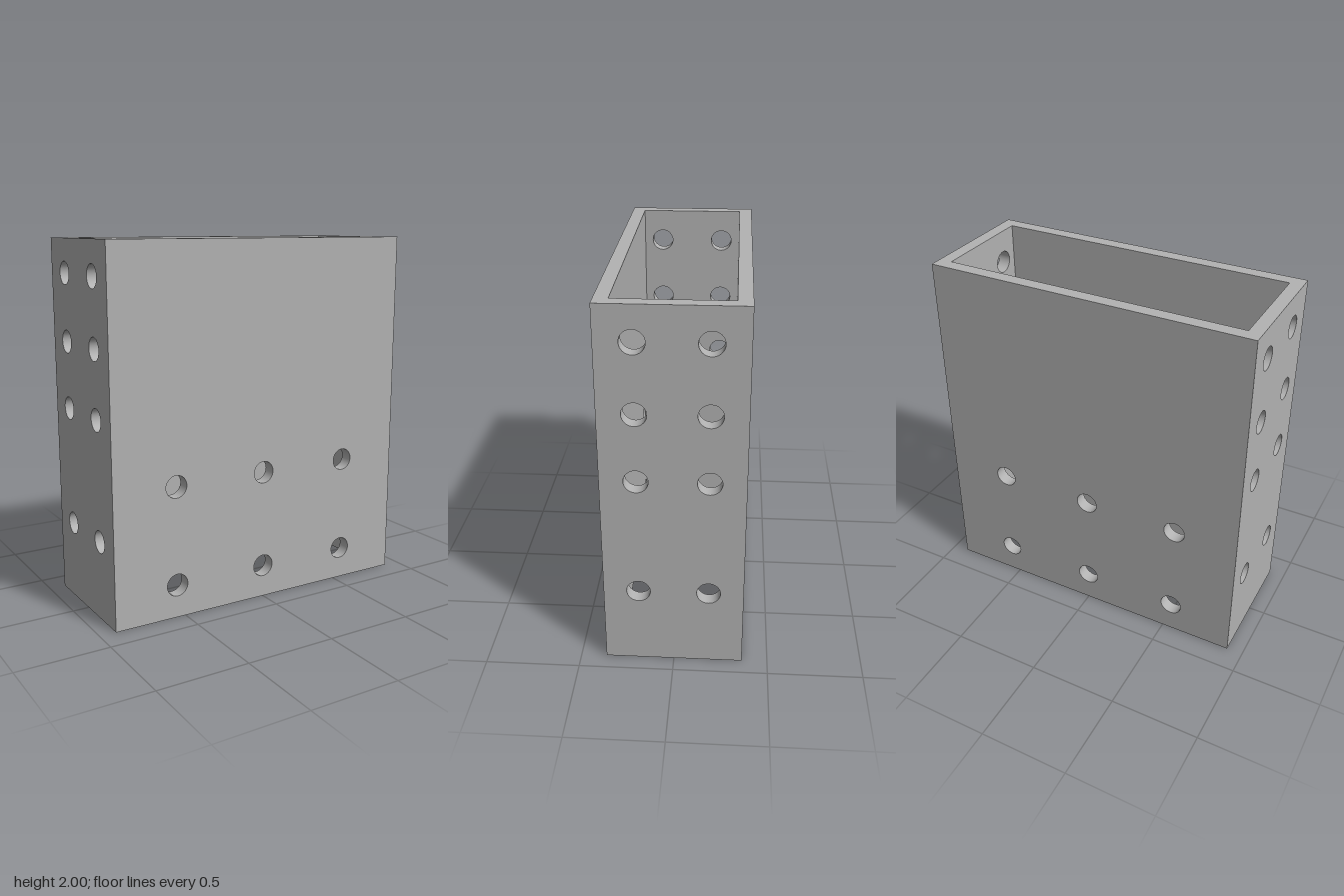
import * as THREE from 'three';
import { mergeGeometries } from 'three/addons/utils/BufferGeometryUtils.js';

const U = 2 / 55; // one design unit
const W = 50 * U, D = 20 * U, H = 55 * U, T = 2 * U, R = 1.7 * U;

// Rectangle standing on y = 0, pierced by round holes
function plate(width, holes) {
  const shape = new THREE.Shape();
  shape.moveTo(-width / 2, 0).lineTo(width / 2, 0).lineTo(width / 2, H).lineTo(-width / 2, H).closePath();
  for (const [x, y] of holes) {
    shape.holes.push(new THREE.Path().absarc(x, y, R, 0, Math.PI * 2, true));
  }
  return new THREE.ShapeGeometry(shape, 16);
}

// One wall facing +z: outer skin, inner skin and the bores joining them
function wallGeometry(width, distance, holes) {
  const parts = [
    plate(width, holes).translate(0, 0, distance),
    plate(width - 2 * T, holes).rotateY(Math.PI).translate(0, 0, distance - T),
  ];
  for (const [x, y] of holes) {
    const bore = new THREE.LatheGeometry([new THREE.Vector2(R, T), new THREE.Vector2(R, 0)], 32);
    parts.push(bore.rotateX(Math.PI / 2).translate(x, y, distance - T));
  }
  return mergeGeometries(parts);
}

// Rectangular ring closing the wall thickness at an open end
function rimGeometry() {
  const rect = (path, w, d) =>
    path.moveTo(-w / 2, -d / 2).lineTo(w / 2, -d / 2).lineTo(w / 2, d / 2).lineTo(-w / 2, d / 2).closePath();
  const shape = rect(new THREE.Shape(), W, D);
  shape.holes.push(rect(new THREE.Path(), W - 2 * T, D - 2 * T));
  return new THREE.ShapeGeometry(shape);
}

export function createModel() {
  const group = new THREE.Group();
  group.name = 'mountingSleeve';
  const grey = new THREE.MeshStandardMaterial({ color: 0xb2b2b2 });
  grey.name = 'grey';

  const add = (name, geometry) => {
    const mesh = new THREE.Mesh(geometry, grey);
    mesh.name = name;
    group.add(mesh);
    return mesh;
  };

  // Hole grids, symmetric across each wall
  const grid = (xs, ys) => xs.flatMap((x) => ys.map((y) => [x * U, y * U]));
  const broadHoles = grid([-15, 0, 15], [5, 20]);
  const sideHoles = grid([-5, 5], [12, 30, 40, 50]);

  // Walls
  const broad = wallGeometry(W, D / 2, broadHoles);
  const side = wallGeometry(D, W / 2, sideHoles);
  add('frontWall', broad);
  add('backWall', broad).rotation.y = Math.PI;
  add('leftWall', side).rotation.y = Math.PI / 2;
  add('rightWall', side).rotation.y = -Math.PI / 2;

  // Open ends
  add('topRim', rimGeometry().rotateX(-Math.PI / 2).translate(0, H, 0));
  add('bottomRim', rimGeometry().rotateX(Math.PI / 2));

  return group;
}
